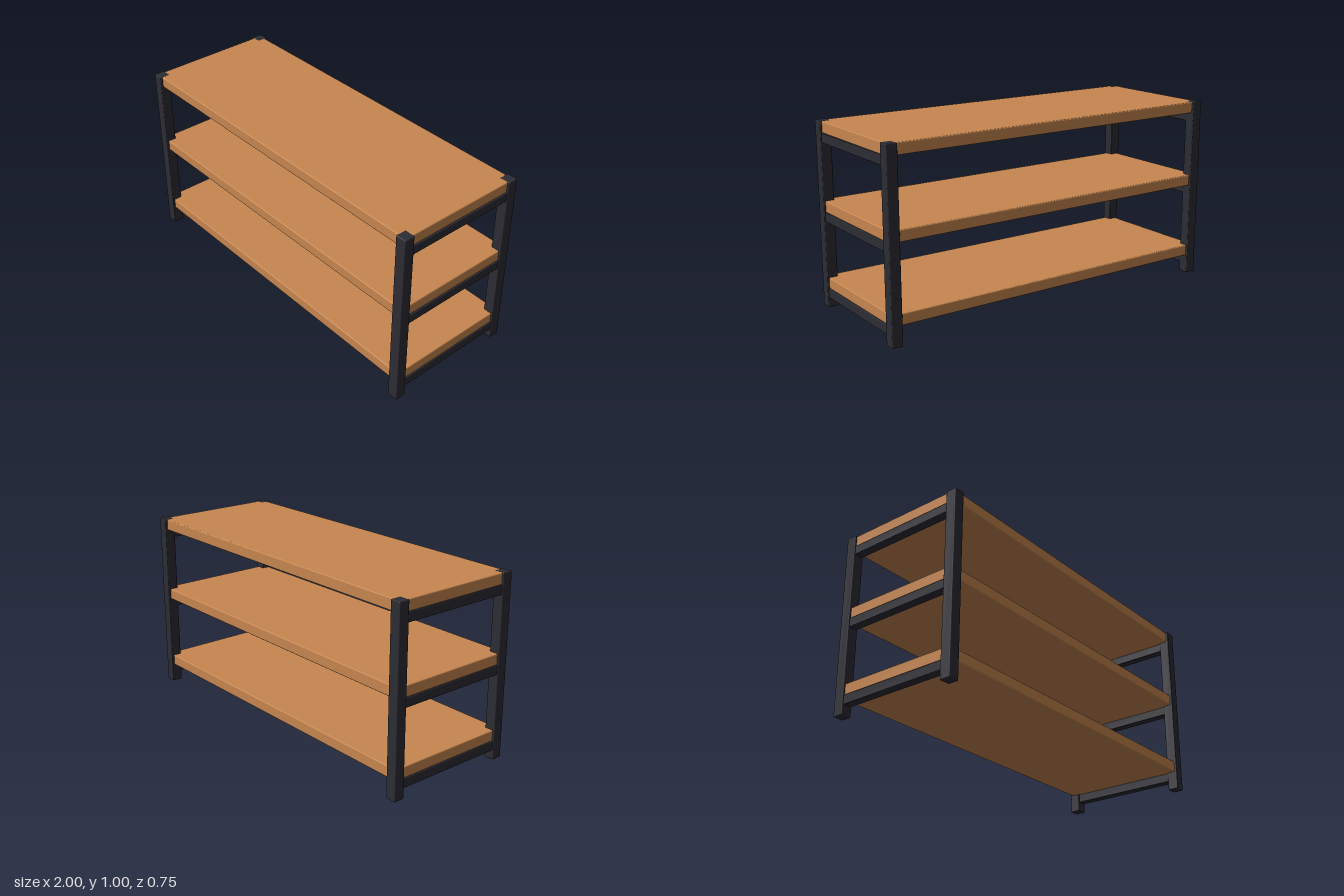
import * as THREE from 'three';
import { RoundedBoxGeometry } from 'three/addons/geometries/RoundedBoxGeometry.js';

export function createModel() {
  const model = new THREE.Group();
  model.name = 'shelfRack';

  const wood = new THREE.MeshStandardMaterial({ color: 0xc68650 });
  wood.name = 'warm wood';
  const metal = new THREE.MeshStandardMaterial({ color: 0x2c2c34 });
  metal.name = 'dark metal';

  // Softly rounded box, placed by its centre
  function addBox(name, material, [w, h, d], radius, [x, y, z]) {
    const mesh = new THREE.Mesh(new RoundedBoxGeometry(w, h, d, 3, radius), material);
    mesh.name = name;
    mesh.position.set(x, y, z);
    model.add(mesh);
  }

  // Corner posts
  for (const x of [-0.97, 0.97]) {
    for (const z of [-0.345, 0.345]) {
      const name = (z > 0 ? 'front' : 'back') + (x > 0 ? 'Left' : 'Right') + 'Post';
      addBox(name, metal, [0.06, 1, 0.06], 0.005, [x, 0.5, z]);
    }
  }

  // Shelf boards, each resting on a rail at either end
  const levels = { bottom: 0.103, middle: 0.52, top: 0.938 };
  for (const [level, y] of Object.entries(levels)) {
    addBox(level + 'Shelf', wood, [1.98, 0.061, 0.725], 0.006, [0, y + 0.0305, 0]);
    for (const side of [-1, 1]) {
      const name = level + (side > 0 ? 'Left' : 'Right') + 'Rail';
      addBox(name, metal, [0.05, 0.05, 0.66], 0.004, [side * 0.97, y - 0.025, 0]);
    }
  }

  return model;
}
